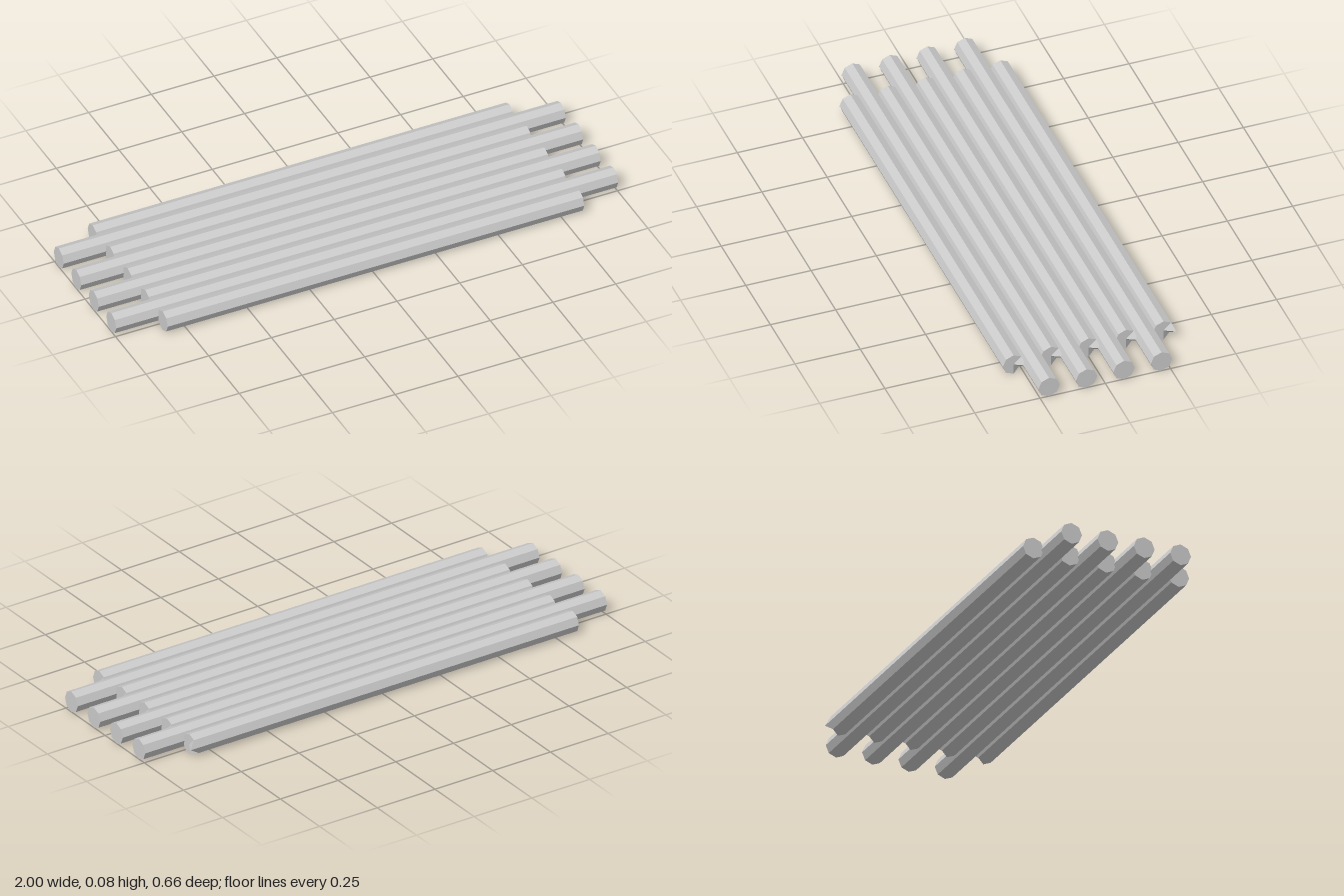
import * as THREE from 'three';

const R = 0.041;        // log radius
const SPACING = 0.0718; // distance between log centres
const COUNT = 9;

const material = new THREE.MeshStandardMaterial({ color: 0xcccccc, flatShading: true });

// Half of an eight-sided log, running from x = 0 to x = length
function halfLog(length, splintered) {
  const geo = new THREE.CylinderGeometry(R, R, length, 8, 1);
  geo.rotateZ(-Math.PI / 2);
  geo.translate(length / 2, 0, 0);
  if (splintered) {
    // Broken end: one corner juts out, the one beneath it is chipped back
    const p = geo.attributes.position;
    for (let i = 0; i < p.count; i++) {
      if (p.getX(i) < length - 0.001) continue;
      const y = p.getY(i), z = p.getZ(i);
      if (z < -R * 0.95) p.setX(i, length + 0.022);
      else if (z < -R * 0.6 && y < -R * 0.6) p.setX(i, length - 0.02);
    }
  }
  return geo;
}

export function createModel() {
  const raft = new THREE.Group();
  raft.name = 'logRaft';

  const longHalf = halfLog(1, false);
  const shortHalf = halfLog(0.83, false);
  const brokenHalf = halfLog(0.83, true);

  // Alternate short and long logs, each joined in the middle
  for (let i = 0; i < COUNT; i++) {
    const isLong = i % 2 === 1;
    const log = new THREE.Group();
    log.name = isLong ? 'longLog' : 'shortLog';
    log.position.set(0, R, (i - (COUNT - 1) / 2) * SPACING);

    const left = new THREE.Mesh(isLong ? longHalf : brokenHalf, material);
    left.name = 'leftHalf';
    const right = new THREE.Mesh(isLong ? longHalf : shortHalf, material);
    right.name = 'rightHalf';
    right.rotation.y = Math.PI;
    log.add(left, right);
    raft.add(log);
  }
  return raft;
}
